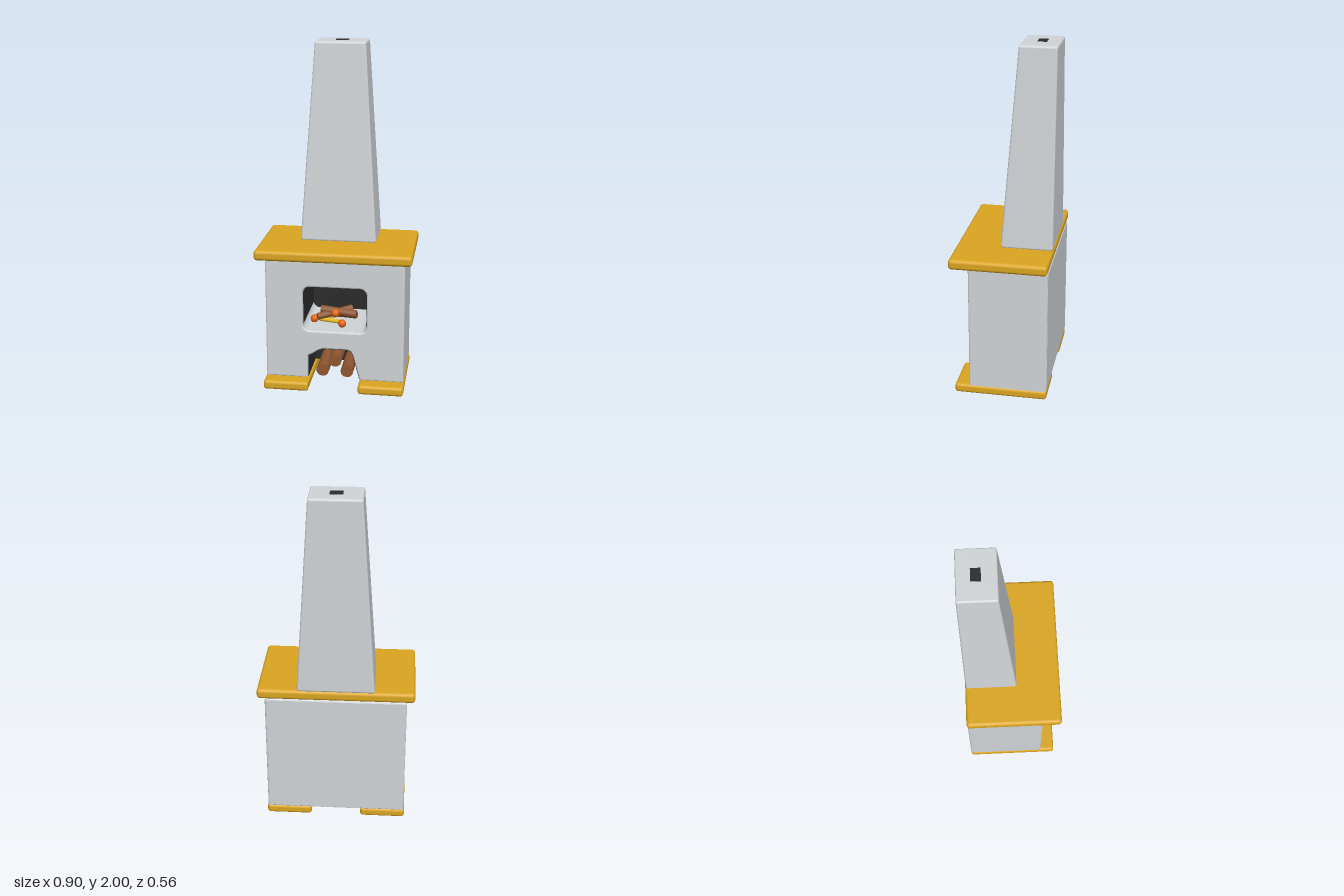
import * as THREE from 'three';
import { RoundedBoxGeometry } from 'three/addons/geometries/RoundedBoxGeometry.js';

const mat = (name, color, side = THREE.FrontSide) => {
  const m = new THREE.MeshStandardMaterial({ color, side });
  m.name = name;
  return m;
};

export function createModel() {
  const group = new THREE.Group();
  const plaster = mat('plaster', 0xd0d4d7);
  const ochre = mat('ochre stone', 0xdaa520);
  const soot = mat('soot', 0x2b2b2b, THREE.DoubleSide);
  const wood = mat('wood', 0x8f5631);
  const ember = mat('ember', 0xf26a12);
  const flame = mat('yellow ember', 0xf2c21a);

  const add = (name, geometry, material) => {
    const mesh = new THREE.Mesh(geometry, material);
    mesh.name = name;
    group.add(mesh);
    return mesh;
  };
  // Rounded box given by its limits on each axis
  const block = (name, [x0, x1], [y0, y1], [z0, z1], r, material) => {
    const mesh = add(name, new RoundedBoxGeometry(x1 - x0, y1 - y0, z1 - z0, 4, r), material);
    mesh.position.set((x0 + x1) / 2, (y0 + y1) / 2, (z0 + z1) / 2);
    return mesh;
  };
  // Cylinder between two points
  const stick = (name, a, b, r, material) => {
    const p = new THREE.Vector3(...a), q = new THREE.Vector3(...b);
    const mesh = add(name, new THREE.CylinderGeometry(r, r, p.distanceTo(q), 12), material);
    mesh.position.copy(p).add(q).multiplyScalar(0.5);
    mesh.quaternion.setFromUnitVectors(new THREE.Vector3(0, 1, 0), q.sub(p).normalize());
    return mesh;
  };
  // Open ribbon swept along z, used for the sooty inner walls
  const lining = (name, pts, z0, z1) => {
    const pos = [], idx = [];
    pts.forEach(([x, y], i) => {
      pos.push(x, y, z0, x, y, z1);
      if (i) idx.push(2 * i - 2, 2 * i - 1, 2 * i, 2 * i, 2 * i - 1, 2 * i + 1);
    });
    let g = new THREE.BufferGeometry();
    g.setAttribute('position', new THREE.Float32BufferAttribute(pos, 3));
    g.setIndex(idx);
    g = g.toNonIndexed();
    g.computeVertexNormals();
    return add(name, g, soot);
  };
  // Rounded rectangle outline
  const roundRect = (path, x, y0, y1, r) => {
    path.moveTo(-x + r, y0);
    path.lineTo(x - r, y0);
    path.absarc(x - r, y0 + r, r, -Math.PI / 2, 0);
    path.lineTo(x, y1 - r);
    path.absarc(x - r, y1 - r, r, 0, Math.PI / 2);
    path.lineTo(-x + r, y1);
    path.absarc(-x + r, y1 - r, r, Math.PI / 2, Math.PI);
    path.lineTo(-x, y0 + r);
    path.absarc(-x + r, y0 + r, r, Math.PI, Math.PI * 1.5);
    return path;
  };

  // Feet
  block('leftFoot', [0.145, 0.41], [0, 0.055], [-0.275, 0.26], 0.018, ochre);
  block('rightFoot', [-0.41, -0.145], [0, 0.055], [-0.275, 0.26], 0.018, ochre);

  // Body with wood niche cut from the bottom and a firebox hole
  const bottom = 0.052, top = 0.797, w = 0.405, c = 0.012;
  const niche = [[-0.16, bottom], [-0.16, 0.19], [-0.13, 0.205], [-0.1, 0.226], [-0.07, 0.238],
    [0.075, 0.238], [0.095, 0.228], [0.108, 0.205], [0.148, bottom]];
  const outline = new THREE.Shape([
    [-w, bottom], ...niche, [w, bottom], [w, top - c], [w - c, top], [-w + c, top], [-w, top - c],
  ].map(([x, y]) => new THREE.Vector2(x, y)));
  const hole = roundRect(new THREE.Path(), 0.187, 0.347, 0.617, 0.042);
  outline.holes.push(hole);
  const bevel = 0.01;
  const bodyGeo = new THREE.ExtrudeGeometry(outline, {
    depth: 0.45 - 2 * bevel, bevelEnabled: true, bevelSize: bevel, bevelThickness: bevel,
    bevelOffset: -bevel, bevelSegments: 3, curveSegments: 8,
  });
  bodyGeo.translate(0, 0, -0.275 + bevel);
  add('body', bodyGeo, plaster);
  block('backPanel', [-0.395, 0.395], [0.06, 0.79], [-0.277, -0.262], 0.002, plaster);

  // Firebox lining: dark walls, ceiling and back, pale floor
  const arch = hole.getPoints(8).map(p => [p.x * 0.985, 0.482 + (p.y - 0.482) * 0.985]);
  lining('fireboxLining', arch.filter(p => p[1] > 0.385 && p[0] > 0)
    .concat(arch.filter(p => p[1] > 0.385 && p[0] <= 0)), -0.22, 0.163);
  const backWall = add('fireboxBack', new THREE.PlaneGeometry(0.385, 0.28), soot);
  backWall.position.set(0, 0.482, -0.22);

  // Wood niche lining and its solid rear
  lining('nicheLining', niche.map(([x, y]) => [x * 0.98, y === bottom ? y + 0.002 : y - 0.004]), -0.1, 0.163);
  const rear = add('nicheRear', new THREE.BoxGeometry(0.312, 0.19, 0.165), plaster);
  rear.position.set(-0.006, bottom + 0.095, -0.1875);
  const rearFace = add('nicheBack', new THREE.PlaneGeometry(0.306, 0.186), soot);
  rearFace.position.set(-0.006, bottom + 0.095, -0.1);

  // Stored logs
  [[-0.075, 0.095], [0.07, 0.095], [0, 0.158]].forEach(([x, y]) =>
    stick('storedLog', [x, y, -0.09], [x, y, 0.15], 0.038, wood));

  // Burning logs and embers
  stick('fireLog', [-0.1, 0.434, 0.03], [0.11, 0.414, 0.04], 0.023, wood);
  stick('fireLog', [-0.115, 0.4, 0.07], [0.08, 0.43, -0.02], 0.02, wood);
  stick('fireLog', [-0.07, 0.39, -0.04], [0.11, 0.405, 0.03], 0.022, wood);
  [[-0.14, 0.371, 0.03], [-0.01, 0.424, 0.065], [0.035, 0.375, 0.1]].forEach(p =>
    add('emberBall', new THREE.SphereGeometry(0.024, 16, 12), ember).position.set(...p));
  stick('emberStick', [-0.11, 0.366, 0.02], [0.01, 0.366, 0.05], 0.012, flame);
  stick('emberStick', [-0.08, 0.362, -0.04], [0.06, 0.372, -0.06], 0.012, flame);

  // Mantel slab
  block('mantelSlab', [-0.45, 0.45], [0.795, 0.855], [-0.278, 0.278], 0.02, ochre);

  // Chimney: rounded box tapered on the front and both sides, back kept upright
  const h = 1.147;
  const chimneyGeo = new RoundedBoxGeometry(0.444, h, 0.3, 4, 0.014);
  const pos = chimneyGeo.attributes.position, nor = chimneyGeo.attributes.normal;
  const n = new THREE.Vector3();
  for (let i = 0; i < pos.count; i++) {
    const t = pos.getY(i) / h + 0.5;
    pos.setX(i, pos.getX(i) * (1 - 0.347 * t));
    pos.setZ(i, -0.275 + (pos.getZ(i) + 0.15) * (1 - 0.3 * t));
    n.fromBufferAttribute(nor, i);
    n.y += 0.067 * Math.abs(n.x) + 0.079 * Math.max(n.z, 0);
    n.normalize();
    nor.setXYZ(i, n.x, n.y, n.z);
  }
  add('chimney', chimneyGeo, plaster).position.y = 0.85 + h / 2;

  // Flue opening
  block('flue', [-0.037, 0.035], [1.992, 2], [-0.2, -0.147], 0.002, soot);
  return group;
}
